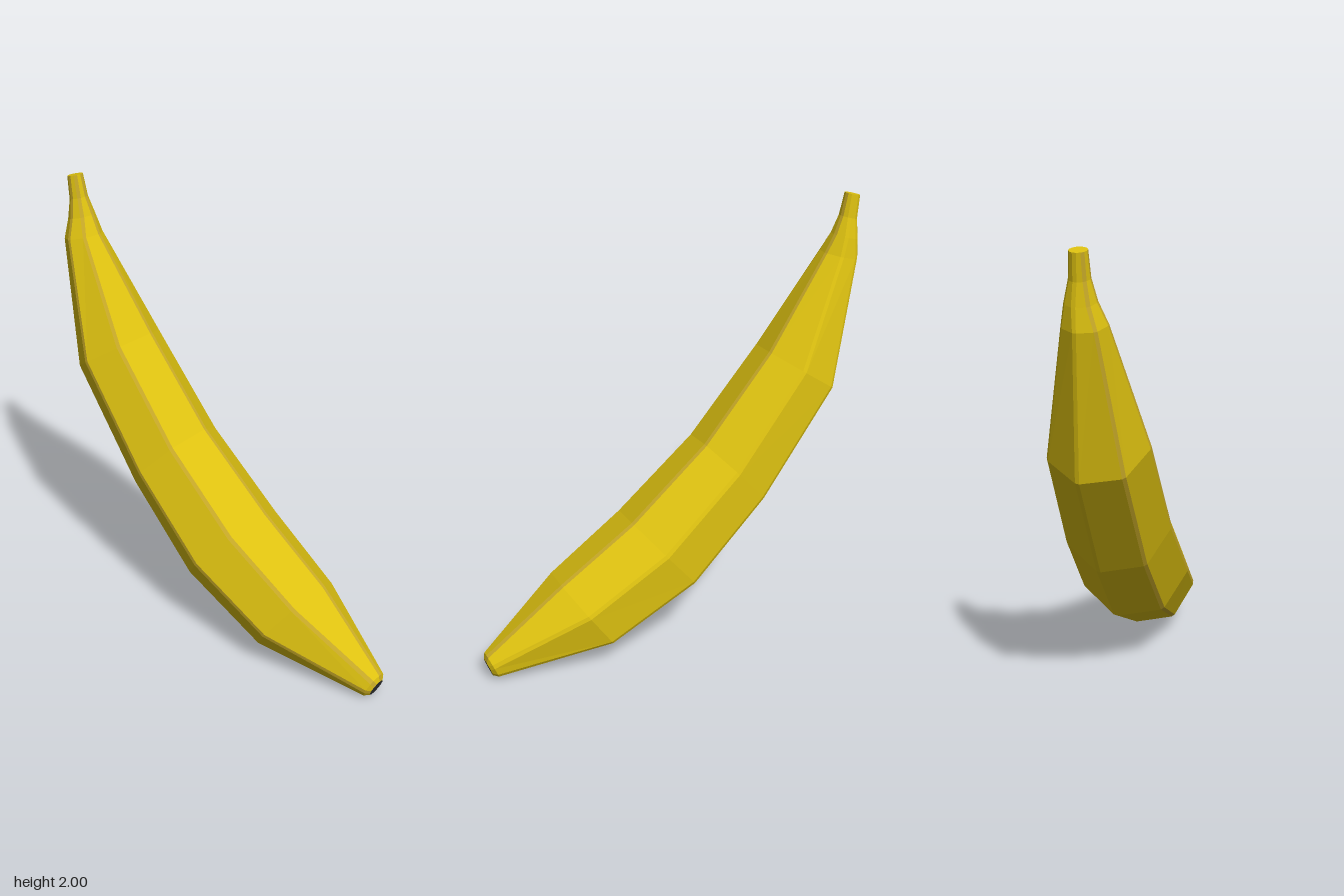
import * as THREE from 'three';

// Stations from stem to tip: outer x, outer y, inner x, inner y, ridge half-width in degrees
const STATIONS = [
  [-0.935, 1.985, -0.867, 2.0, 12.86],
  [-0.925, 1.88, -0.845, 1.9, 11],
  [-0.932, 1.79, -0.812, 1.82, 8],
  [-0.94, 1.70, -0.77, 1.74, 5],
  [-0.82, 1.10, -0.48, 1.325, 2.4],
  [-0.45, 0.60, -0.15, 0.94, 2.2],
  [-0.09, 0.25, 0.22, 0.63, 2.2],
  [0.33, 0.04, 0.57, 0.40, 2.4],
  [0.88, 0.0, 0.925, 0.118, 9],
  [0.905, 0.012, 0.932, 0.09, 12.86],
];
const SIDES = 7;
const rad = THREE.MathUtils.degToRad;

// Seven-cornered ring with each corner cut into a narrow ridge; the first corner faces +z
function ring([ox, oy, ix, iy, bevel], index) {
  const across = new THREE.Vector3(ix - ox, iy - oy, 0);
  const radius = across.length() / 2 / 0.975;
  const centre = new THREE.Vector3((ox + ix) / 2, (oy + iy) / 2, index < 3 ? -0.01 : 0);
  across.normalize();
  const points = [];
  for (let k = 0; k < SIDES; k++) {
    for (const s of [-1, 1]) {
      const a = rad(90 + (k * 360) / SIDES + s * bevel);
      const p = centre.clone().addScaledVector(across, radius * Math.cos(a));
      p.z += radius * Math.sin(a);
      points.push(p);
    }
  }
  return { centre, points };
}

function flatMesh(name, triangles, color) {
  const geometry = new THREE.BufferGeometry().setFromPoints(triangles);
  geometry.computeVertexNormals();
  const material = new THREE.MeshStandardMaterial({ color, flatShading: true });
  const mesh = new THREE.Mesh(geometry, material);
  mesh.name = name;
  return mesh;
}

// Fan closing one end of the skin
function cap({ centre, points }, reverse) {
  return points.flatMap((p, j) => {
    const q = points[(j + 1) % points.length];
    return reverse ? [centre, q, p] : [centre, p, q];
  });
}

export function createModel() {
  const group = new THREE.Group();
  group.name = 'banana';
  const rings = STATIONS.map(ring);
  const skin = [];
  const ridges = [];

  // Broad faces of the peel, and the browner ridges along the front and inner corners
  const brownCorners = [0, 1, 5, 6];
  for (let i = 0; i < rings.length - 1; i++) {
    const a = rings[i].points;
    const b = rings[i + 1].points;
    for (let j = 0; j < a.length; j++) {
      const n = (j + 1) % a.length;
      const isRidge = j % 2 === 0 && brownCorners.includes(j / 2);
      (isRidge ? ridges : skin).push(a[j], a[n], b[n], a[j], b[n], b[j]);
    }
  }

  const yellow = 0xdcc010;
  group.add(flatMesh('peel', skin, yellow));
  group.add(flatMesh('peelRidges', ridges, 0xc8aa28));
  group.add(flatMesh('stemEnd', cap(rings[0], true), yellow));
  group.add(flatMesh('blossomTip', cap(rings[rings.length - 1], false), 0x303030));
  return group;
}
